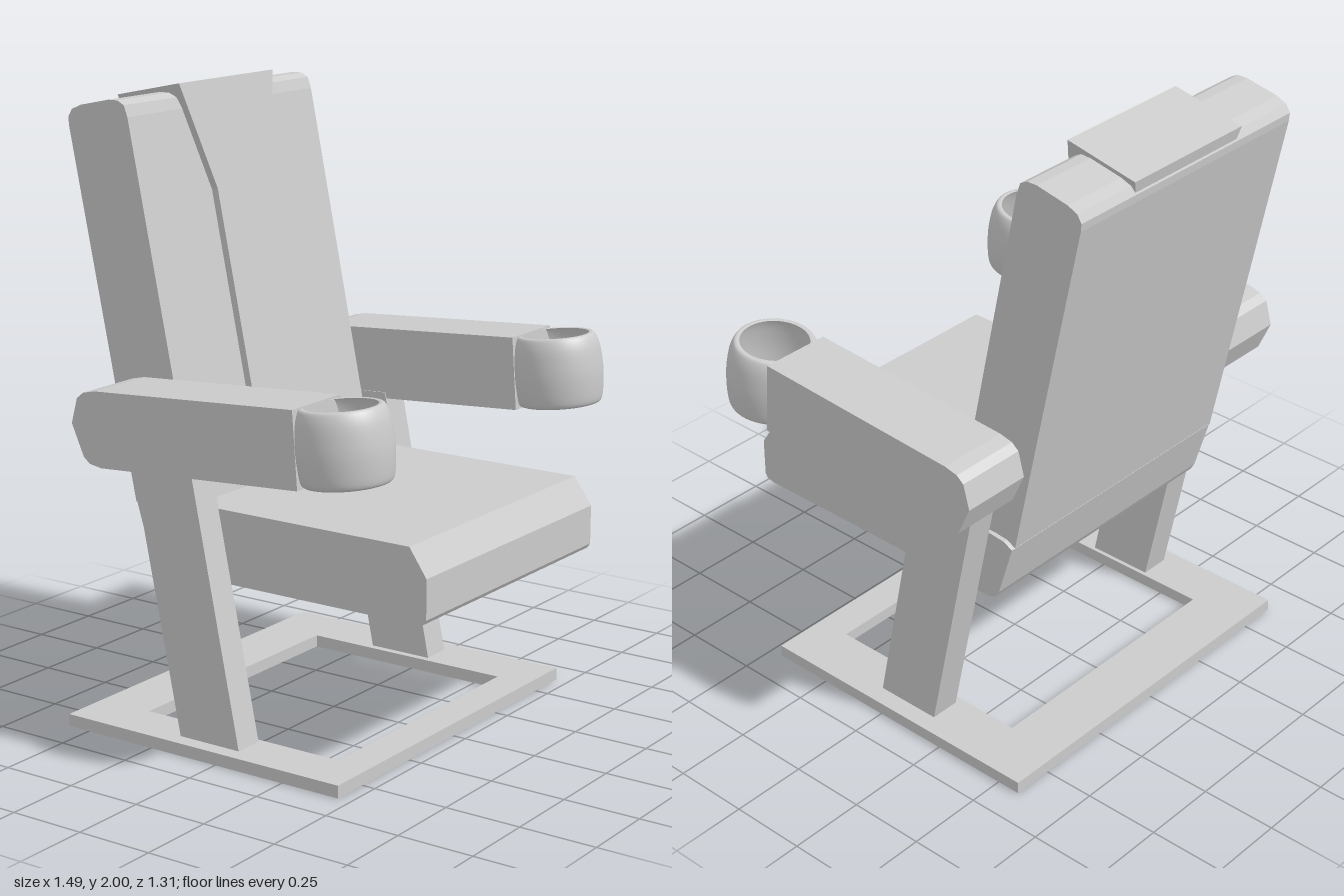
import * as THREE from 'three';

const material = new THREE.MeshStandardMaterial({ color: 0xcccccc });
const openMaterial = new THREE.MeshStandardMaterial({ color: 0xcccccc, side: THREE.DoubleSide });

const toShape = (points) => new THREE.Shape(points.map(([a, b]) => new THREE.Vector2(a, b)));

// Side profile in [z, y] pairs, extruded across x from x0 to x1
function profilePart(name, points, x0, x1) {
  const geometry = new THREE.ExtrudeGeometry(toShape(points), { depth: x1 - x0, bevelEnabled: false });
  geometry.rotateY(-Math.PI / 2);
  geometry.translate(x1, 0, 0);
  const mesh = new THREE.Mesh(geometry, material);
  mesh.name = name;
  return mesh;
}

// Flat rectangular floor frame with a rectangular opening
function floorFrame() {
  const shape = toShape([[-0.625, -0.455], [0.635, -0.455], [0.635, 0.58], [-0.625, 0.58]]);
  shape.holes.push(toShape([[-0.46, -0.34], [-0.46, 0.39], [0.45, 0.39], [0.45, -0.34]]));
  const geometry = new THREE.ExtrudeGeometry(shape, { depth: 0.04, bevelEnabled: false });
  geometry.rotateX(-Math.PI / 2);
  const mesh = new THREE.Mesh(geometry, material);
  mesh.name = 'floorFrame';
  return mesh;
}

// Raised centre panel, flaring out at the head and tilted with the backrest
function centrePanel() {
  const shape = toShape([
    [-0.14, -1.27], [0.137, -1.27], [0.137, -0.337], [0.24, 0], [-0.24, 0], [-0.14, -0.337],
  ]);
  const geometry = new THREE.ExtrudeGeometry(shape, { depth: 0.25, bevelEnabled: false });
  geometry.translate(0, 0, -0.25);
  const mesh = new THREE.Mesh(geometry, material);
  mesh.name = 'centrePanel';
  mesh.rotation.x = -0.203;
  mesh.position.set(0, 2, -0.41);
  return mesh;
}

// Open barrel-shaped cup holder, tilted with the armrest
function cupHolder(x) {
  const curve = new THREE.SplineCurve([
    [0.112, -0.113], [0.128, -0.112], [0.138, -0.095], [0.145, -0.04],
    [0.146, 0.01], [0.14, 0.07], [0.128, 0.105], [0.118, 0.113], [0.108, 0.112],
  ].map(([r, y]) => new THREE.Vector2(r, y)));
  const mesh = new THREE.Mesh(new THREE.LatheGeometry(curve.getPoints(24), 48), openMaterial);
  mesh.name = 'cupHolder';
  mesh.rotation.x = -0.1;
  mesh.position.set(x, 1.067, 0.457);
  return mesh;
}

export function createModel() {
  const group = new THREE.Group();
  group.name = 'theatreSeat';

  group.add(floorFrame());

  group.add(profilePart('seatCushion', [
    [0.62, 0.525], [0.65, 0.53], [0.66, 0.545], [0.66, 0.67], [0.6, 0.757],
    [-0.33, 0.757], [-0.38, 0.752], [-0.412, 0.735], [-0.36, 0.56], [-0.345, 0.535], [-0.315, 0.525],
  ], -0.475, 0.475));

  group.add(profilePart('backrest', [
    [-0.175, 0.74], [-0.417, 1.92], [-0.43, 1.955], [-0.455, 1.968], [-0.49, 1.968],
    [-0.6, 1.945], [-0.635, 1.93], [-0.65, 1.905], [-0.648, 1.88], [-0.41, 0.73],
  ], -0.48, 0.46));

  group.add(centrePanel());

  // Slanted support, armrest and cup holder on each side
  for (const side of [-1, 1]) {
    const span = (a, b) => (side > 0 ? [a, b] : [-b, -a]);
    const name = side > 0 ? 'left' : 'right';
    group.add(profilePart(name + 'Support', [
      [0.052, 0.038], [-0.172, 0.038], [-0.352, 0.92], [-0.128, 0.93],
    ], ...span(0.474, 0.574)));
    group.add(profilePart(name + 'Armrest', [
      [0.358, 1.175], [-0.37, 1.13], [-0.415, 1.12], [-0.44, 1.1], [-0.462, 1.02],
      [-0.418, 0.922], [-0.395, 0.903], [-0.35, 0.896], [0.375, 0.94],
    ], ...span(0.478, 0.713)));
    group.add(cupHolder(side * 0.597));
  }
  return group;
}
